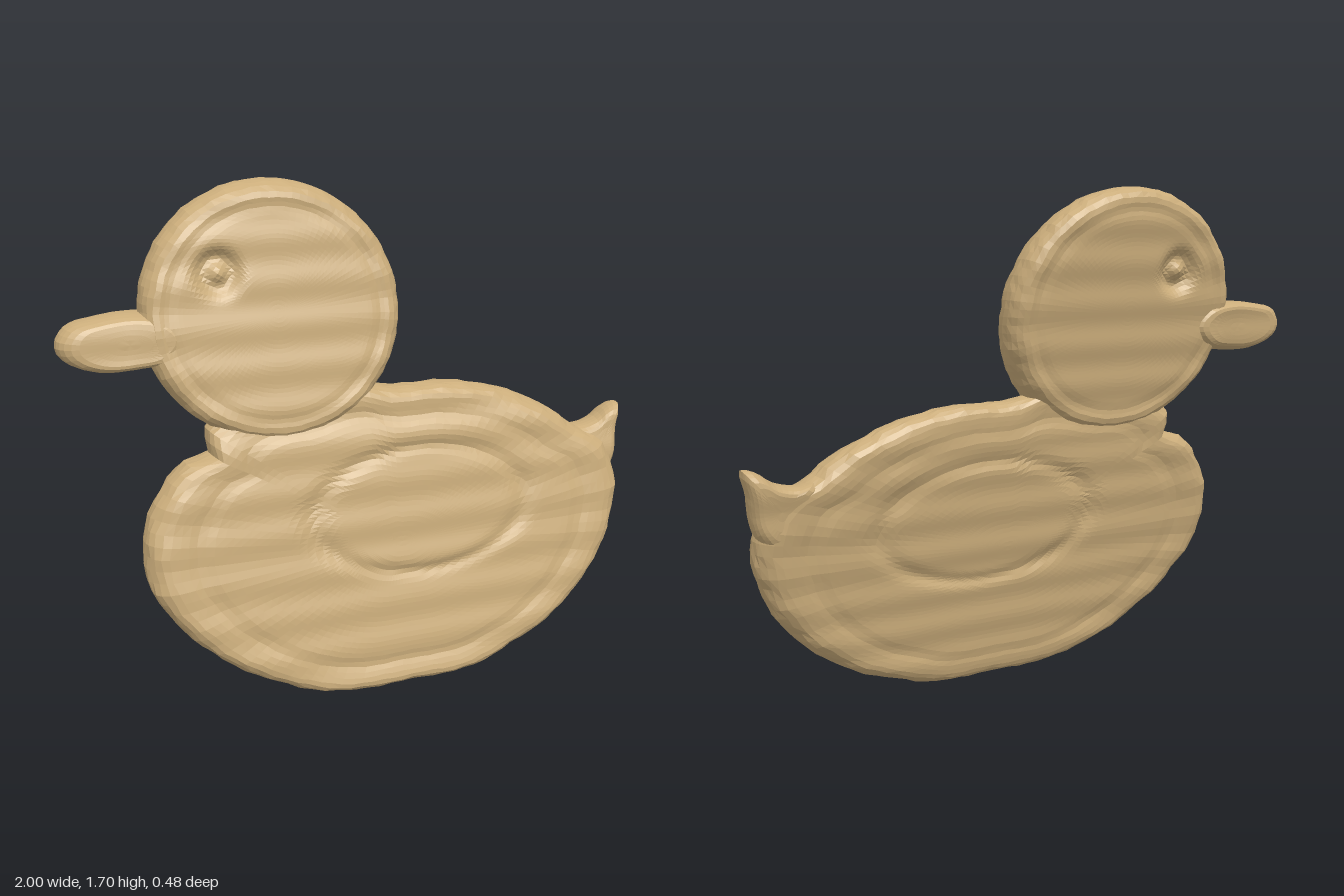
import * as THREE from 'three';

const tan = new THREE.MeshStandardMaterial({ color: 0xcbad7b });
tan.name = 'tan';

const bump = (v, centre, width) => Math.exp(-(((v - centre) / width) ** 2));

// Closed smooth outline from a few points, turned counter-clockwise
function outline(points, count) {
  const curve = new THREE.CatmullRomCurve3(
    points.map(([x, y]) => new THREE.Vector3(x, y, 0)), true, 'centripetal');
  const pts = curve.getSpacedPoints(count).slice(0, count);
  if (THREE.ShapeUtils.area(pts) < 0) pts.reverse();
  return pts;
}

// The whole figure leans back and turns a touch, with shallow terraces across it
const lean = (x, y) =>
  0.177 - 0.207 * y - 0.022 * x + 0.003 * Math.sin((y * 2 * Math.PI) / 0.135);

// Flat cushion: rings shrink from the outline to a centre, front and back alike
function slab(name, pts, centre, radius, half, rings, relief = () => 0, edge = 0.055) {
  const n = pts.length;
  const steps = [0, 0.05, 0.15, 0.35, 0.65, 1].map((k) => k * edge);
  for (let i = 1; i <= rings; i++) steps.push(edge + ((radius - edge) * i) / rings);
  const positions = [];
  const index = [];

  for (const side of [1, -1]) {
    const base = positions.length / 3;
    steps.forEach((d, r) => {
      const s = 1 - d / radius;
      const round = Math.sqrt(Math.max(0, 1 - (1 - Math.min(d / edge, 1)) ** 2));
      pts.forEach((p, i) => {
        // slight hand-cut wobble near the edge
        const w = 1 + 0.007 * s * s * Math.sin(i * 1.9) * Math.cos(i * 0.7 + r);
        const k = r === 0 ? 1 : s * w;
        const x = centre[0] + (p.x - centre[0]) * k;
        const y = Math.max(0.004, centre[1] + (p.y - centre[1]) * k);
        positions.push(x, y, lean(x, y) + side * round * (half + relief(x, y, d)));
        if (r === 0) return;
        const j = (i + 1) % n;
        const a = base + (r - 1) * n + i, b = base + (r - 1) * n + j;
        const c = base + r * n + j, e = base + r * n + i;
        const last = r === steps.length - 1;
        if (side > 0) {
          index.push(a, b, e);
          if (!last) index.push(b, c, e);
        } else {
          index.push(b, a, e);
          if (!last) index.push(c, b, e);
        }
      });
    });
  }
  const indexed = new THREE.BufferGeometry();
  indexed.setAttribute('position', new THREE.Float32BufferAttribute(positions, 3));
  indexed.setIndex(index);
  const geometry = indexed.toNonIndexed(); // faceted normals
  geometry.computeVertexNormals();
  const mesh = new THREE.Mesh(geometry, tan);
  mesh.name = name;
  return mesh;
}

export function createModel() {
  const group = new THREE.Group();
  group.name = 'duck';

  // Body, rising into the neck, with a rim groove and a raised oval wing
  const bodyPts = outline([
    [0.95, 0.62], [0.94, 0.51], [0.89, 0.38], [0.79, 0.25], [0.62, 0.12], [0.45, 0.05],
    [0.31, 0.008], [0.08, 0.004], [-0.16, 0.008], [-0.35, 0.06], [-0.55, 0.17],
    [-0.69, 0.3], [-0.78, 0.45], [-0.785, 0.6], [-0.73, 0.73], [-0.64, 0.82],
    [-0.55, 0.855], [-0.56, 0.92], [-0.48, 0.98], [-0.3, 1.0], [-0.06, 1.04], [0.08, 1.005],
    [0.3, 1.0], [0.5, 0.96], [0.68, 0.88], [0.8, 0.795], [0.9, 0.74],
  ], 110);
  group.add(slab('body', bodyPts, [0.08, 0.5], 0.65, 0.077, 28, (x, y, d) => {
    const wing = Math.hypot((x - 0.16) / 0.45, (y - 0.6) / 0.24);
    return -0.006 * bump(d, 0.125, 0.025) - 0.012 * bump(wing, 0.87, 0.09)
      - 0.012 * THREE.MathUtils.smoothstep(y, 0.86, 0.94);
  }));

  // Upturned tail point, set slightly back
  const tailPts = outline([
    [0.995, 0.855], [0.98, 0.78], [0.95, 0.64], [0.88, 0.57], [0.76, 0.66],
    [0.76, 0.8], [0.82, 0.79], [0.9, 0.81], [0.95, 0.845],
  ], 40);
  const tail = slab('tail', tailPts, [0.88, 0.72], 0.12, 0.056, 3, undefined, 0.045);
  tail.position.z = -0.018;
  group.add(tail);

  // Round head with a narrow rim and a sunken eye that has a small pupil bump
  const headPts = [];
  for (let i = 0; i < 96; i++) {
    const a = (i / 96) * Math.PI * 2;
    headPts.push(new THREE.Vector3(-0.3 + 0.44 * Math.cos(a), 1.284 + 0.415 * Math.sin(a), 0));
  }
  group.add(slab('head', headPts, [-0.3, 1.284], 0.43, 0.08, 26, (x, y, d) => {
    const eye = Math.hypot(x + 0.485, y - 1.42);
    return -0.005 * bump(d, 0.08, 0.02) - 0.03 * bump(eye, 0.045, 0.03);
  }));

  // Blunt beak, thickening where it meets the head
  const beakPts = outline([
    [-1.0, 1.24], [-0.965, 1.28], [-0.88, 1.3], [-0.75, 1.31], [-0.63, 1.29], [-0.575, 1.23],
    [-0.63, 1.16], [-0.75, 1.135], [-0.88, 1.135], [-0.965, 1.165], [-1.0, 1.2],
  ], 44);
  const beak = slab('beak', beakPts, [-0.78, 1.22], 0.13, 0.068, 4,
    (x) => 0.018 * THREE.MathUtils.smoothstep(x, -0.8, -0.66), 0.04);
  beak.position.z = -0.008;
  group.add(beak);

  return group;
}
